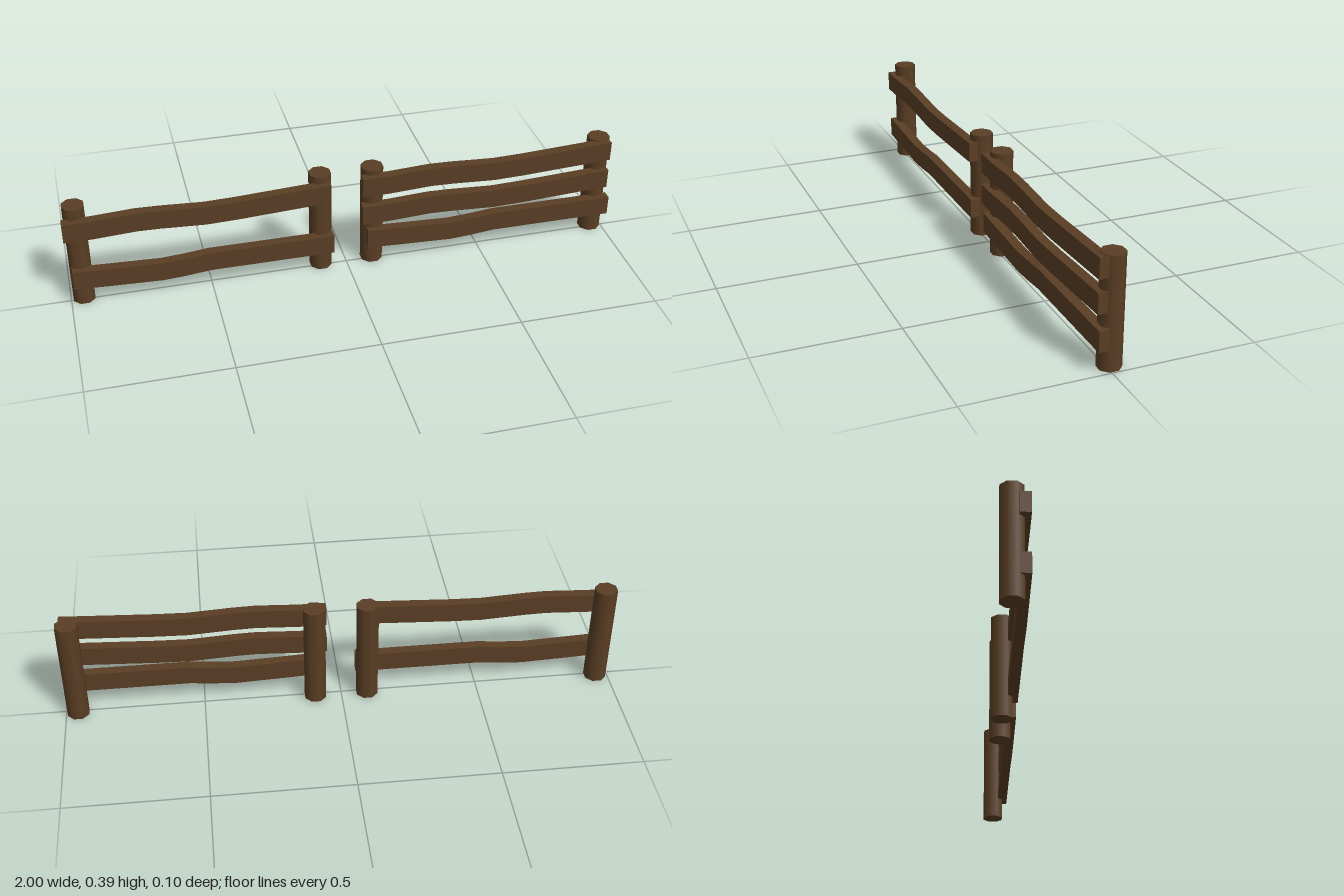
import * as THREE from 'three';

const POST_HEIGHT = 0.392;
const PLANK_HEIGHT = 0.072;
const PLANK_BACK = 0.012;
const PLANK_DEPTH = 0.036;

// Bottom-edge bends of the planks: [distance along plank, rise]
const WAVY = [[0, 0], [0.1, 0.001], [0.25, 0.009], [0.33, 0.007], [0.49, -0.002], [0.6, 0.001], [0.935, 0.018]];
const DIPPED = [[0, 0], [0.12, -0.006], [0.31, -0.014], [0.39, -0.009], [0.48, 0], [0.93, 0]];

export function createModel() {
  const model = new THREE.Group();
  model.name = 'fence';
  const wood = new THREE.MeshStandardMaterial({ name: 'brown wood', color: 0x5a3e24 });

  // Eight-sided upright post with smooth sides
  const postGeometry = new THREE.CylinderGeometry(0.041, 0.041, POST_HEIGHT, 8);
  postGeometry.rotateY(Math.PI / 8);

  function addPost(section, x) {
    const post = new THREE.Mesh(postGeometry, wood);
    post.name = 'post';
    post.position.set(x, POST_HEIGHT / 2, -0.01);
    section.add(post);
  }

  // Bent plank: outline of constant height, extruded to its thickness
  function addPlank(section, name, x, y, bends) {
    const lower = bends.map(([dx, dy]) => new THREE.Vector2(x + dx, y + dy));
    const upper = lower.map((p) => new THREE.Vector2(p.x, p.y + PLANK_HEIGHT)).reverse();
    const geometry = new THREE.ExtrudeGeometry(new THREE.Shape([...lower, ...upper]), {
      depth: PLANK_DEPTH,
      bevelEnabled: false,
    });
    geometry.translate(0, 0, PLANK_BACK);
    const plank = new THREE.Mesh(geometry, wood);
    plank.name = name;
    section.add(plank);
  }

  // Two-rail section
  const twoRail = new THREE.Group();
  twoRail.name = 'twoRailSection';
  addPost(twoRail, -0.954);
  addPost(twoRail, -0.094);
  addPlank(twoRail, 'topPlank', -1, 0.278, WAVY);
  addPlank(twoRail, 'bottomPlank', -0.985, 0.08, DIPPED);

  // Three-rail section
  const threeRail = new THREE.Group();
  threeRail.name = 'threeRailSection';
  addPost(threeRail, 0.096);
  addPost(threeRail, 0.957);
  addPlank(threeRail, 'topPlank', 0.05, 0.3, WAVY);
  addPlank(threeRail, 'middlePlank', 0.05, 0.183, WAVY);
  addPlank(threeRail, 'bottomPlank', 0.07, 0.08, DIPPED);

  model.add(twoRail, threeRail);
  return model;
}
